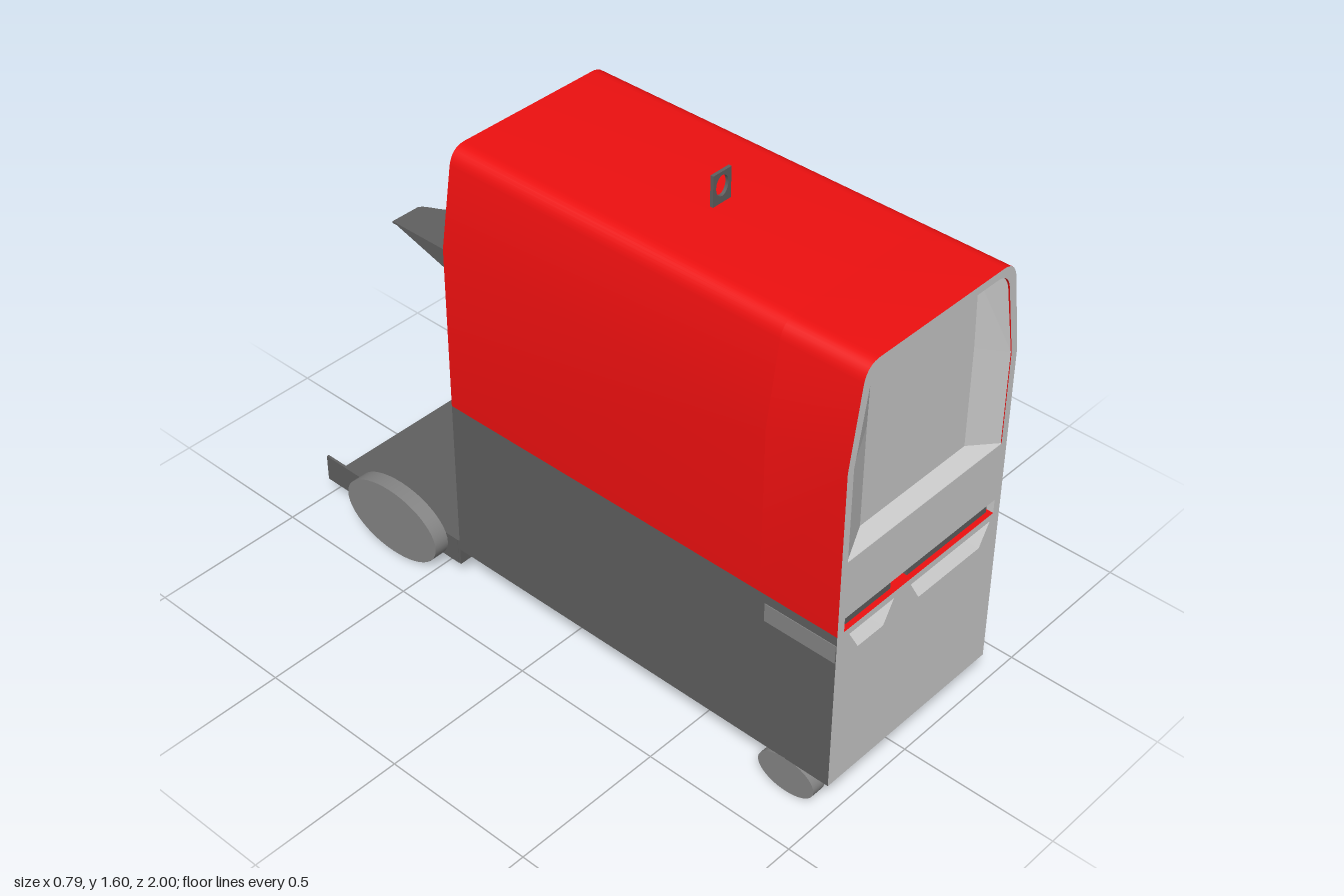
import * as THREE from 'three';
import { toCreasedNormals } from 'three/addons/utils/BufferGeometryUtils.js';

const mat = (color, extra = {}) => new THREE.MeshStandardMaterial({ color, ...extra });

export function createModel() {
  const group = new THREE.Group();
  const light = mat(0xcccccc);
  const lightThin = mat(0xcccccc, { side: THREE.DoubleSide, flatShading: true });
  const red = mat(0xee1010);
  const dark = mat(0x606060);
  const grey = mat(0x858585);

  const add = (name, geometry, material, x = 0, y = 0, z = 0) => {
    const mesh = new THREE.Mesh(geometry, material);
    mesh.name = name;
    mesh.position.set(x, y, z);
    group.add(mesh);
    return mesh;
  };
  const box = (name, material, x0, x1, y0, y1, z0, z1) =>
    add(name, new THREE.BoxGeometry(x1 - x0, y1 - y0, z1 - z0), material,
      (x0 + x1) / 2, (y0 + y1) / 2, (z0 + z1) / 2);
  const poly = (pts) => new THREE.Shape(pts.map(([x, y]) => new THREE.Vector2(x, y)));
  const extrude = (name, shape, z0, z1, material) => {
    const g = new THREE.ExtrudeGeometry(shape, { depth: z1 - z0, bevelEnabled: false, curveSegments: 8 });
    return add(name, toCreasedNormals(g, 0.6), material, 0, 0, z0);
  };

  // Cross-section of the hood, inset by i
  const hoodShape = (i, bottom) => {
    const s = new THREE.Shape();
    s.moveTo(-0.345 + i, bottom);
    s.lineTo(0.345 - i, bottom);
    s.lineTo(0.345 - i, 1.2);
    s.lineTo(0.304 - i, 1.45 - i);
    s.quadraticCurveTo(0.293 - i, 1.5 - i, 0.245 - i, 1.5 - i);
    s.lineTo(-0.245 + i, 1.5 - i);
    s.quadraticCurveTo(-0.293 + i, 1.5 - i, -0.304 + i, 1.45 - i);
    s.lineTo(-0.345 + i, 1.2);
    s.closePath();
    return s;
  };
  const rect = (x, y0, y1) => poly([[-x, y0], [x, y0], [x, y1], [-x, y1]]);

  // Hood and base: solid core behind, hollow rim in front
  const CORE = 0.74;
  extrude('hood', hoodShape(0, 0.66), -0.41, CORE, red);
  const hoodRim = hoodShape(0, 0.66);
  hoodRim.holes.push(hoodShape(0.024, 0.662));
  extrude('hoodRim', hoodRim, CORE, 1, [light, red]);
  extrude('base', rect(0.345, 0.12, 0.66), -0.41, CORE, dark);
  const baseRim = rect(0.345, 0.12, 0.66);
  baseRim.holes.push(rect(0.321, 0.122, 0.658));
  extrude('baseRim', baseRim, CORE, 1, [light, dark]);

  // Front fascia with a slot and two grip pockets
  const pockets = [[-0.295, -0.11], [-0.04, 0.305]].map(([a, b]) =>
    [[a, 0.64], [a + 0.04, 0.57], [b - 0.04, 0.57], [b, 0.64]]);
  const fascia = rect(0.322, 0.121, 0.9);
  fascia.holes.push(rect(0.318, 0.66, 0.708), ...pockets.map(poly));
  extrude('frontFascia', fascia, 0.95, 1, light);
  box('slotBacking', dark, -0.32, 0.32, 0.655, 0.712, 0.94, 0.965);
  box('slotInsertRight', dark, -0.295, -0.11, 0.664, 0.704, 0.96, 0.985);
  box('slotInsertLeft', dark, -0.04, 0.305, 0.664, 0.704, 0.96, 0.985);

  // Recess running from a front outline to a closed back outline
  const recess = (name, front, z0, back, z1) => {
    const v = [], n = front.length;
    const F = (i) => [...front[i % n], z0], B = (i) => [...back[i % n], z1];
    for (let i = 0; i < n; i++) {
      v.push(...F(i), ...B(i), ...B(i + 1), ...F(i), ...B(i + 1), ...F(i + 1));
      if (i > 0 && i < n - 1) v.push(...B(0), ...B(i), ...B(i + 1));
    }
    const g = new THREE.BufferGeometry();
    g.setAttribute('position', new THREE.Float32BufferAttribute(v, 3));
    g.computeVertexNormals();
    return add(name, g, lightThin);
  };
  pockets.forEach((p, i) => recess('gripPocket' + (i + 1), p, 0.998, p, 0.76));
  recess('controlPanel',
    [[-0.322, 0.9], [0.322, 0.9], [0.322, 1.2], [0.278, 1.474], [-0.278, 1.474], [-0.322, 1.2]], 0.998,
    [[-0.22, 0.93], [0.215, 0.93], [0.215, 1.25], [0.205, 1.47], [-0.215, 1.47], [-0.22, 1.25]], 0.955);

  // Side grips
  for (const s of [-1, 1])
    box('sideGrip', grey, s * 0.345 - 0.002, s * 0.345 + 0.002, 0.57, 0.63, 0.76, 0.998);

  // Lifting eye
  const eye = poly([[-0.04, 1.49], [0.03, 1.49], [0.03, 1.595], [-0.04, 1.595]]);
  eye.holes.push(new THREE.Path().absellipse(-0.005, 1.552, 0.024, 0.032, 0, Math.PI * 2));
  extrude('liftingEye', eye, 0.28, 0.29, dark);

  // Scalloped cable shelf on the back, with side gussets (shape y is distance behind the body)
  const shelf = new THREE.Shape();
  shelf.moveTo(-0.345, 0);
  shelf.lineTo(-0.345, 0.2);
  for (const c of [-0.15, 0.145]) {
    shelf.lineTo(c - 0.1, 0.2);
    shelf.bezierCurveTo(c - 0.07, 0.19, c - 0.07, 0.105, c, 0.1);
    shelf.bezierCurveTo(c + 0.07, 0.105, c + 0.07, 0.19, c + 0.1, 0.2);
  }
  shelf.lineTo(0.345, 0.2);
  shelf.lineTo(0.345, 0);
  const shelfMesh = extrude('cableShelf', shelf, 0, 0.006, dark);
  shelfMesh.rotation.x = -Math.PI / 2;
  shelfMesh.position.set(0, 1.194, -0.41);
  for (const s of [-1, 1]) {
    const gusset = extrude('shelfGusset', poly([[0, 1.14], [0.19, 1.196], [0, 1.196]]), 0, 0.006, dark);
    gusset.rotation.y = Math.PI / 2;
    gusset.position.set(s * 0.342 - 0.003, 0, -0.41);
  }

  // Rear bottle tray
  box('trayFloor', dark, -0.343, 0.343, 0.06, 0.068, -1, -0.42);
  box('trayFront', dark, -0.343, 0.343, 0.06, 0.15, -0.428, -0.411);
  for (const s of [-1, 1])
    box('traySide', dark, s * 0.34 - 0.004, s * 0.34 + 0.004, 0.06, 0.15, -1, -0.42);

  // Wheels
  const wheel = (name, x, z, ry, rz, width) => {
    const g = new THREE.CylinderGeometry(1, 1, width, 48).rotateZ(Math.PI / 2).scale(1, ry, rz);
    add(name, g, grey, x, ry, z);
  };
  for (const s of [-1, 1]) {
    wheel('rearWheel', s * 0.37, -0.655, 0.12, 0.193, 0.05);
    wheel('frontCaster', s * 0.322, 0.855, 0.061, 0.098, 0.046);
  }
  return group;
}
